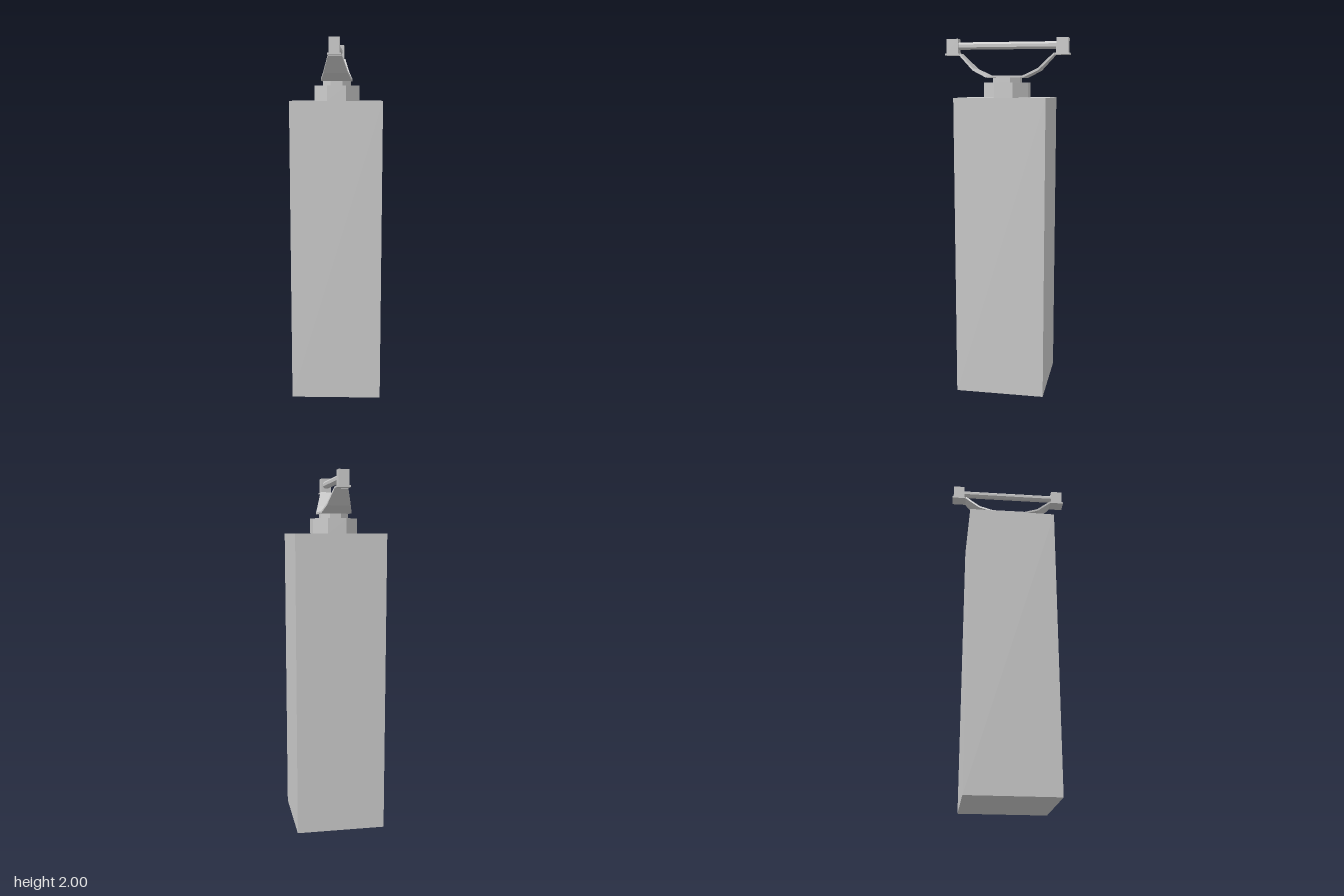
import * as THREE from 'three';

const material = new THREE.MeshStandardMaterial({ color: 0xcccccc, flatShading: true });

function add(parent, name, geometry, x = 0, y = 0, z = 0) {
  const mesh = new THREE.Mesh(geometry, material);
  mesh.name = name;
  mesh.position.set(x, y, z);
  parent.add(mesh);
  return mesh;
}

// Eight-sided prism with flats facing the axes, sized by its distance to a flat
function octagon(apothem, height) {
  const r = apothem / Math.cos(Math.PI / 8);
  return new THREE.CylinderGeometry(r, r, height, 8).rotateY(Math.PI / 8);
}

// Bent strip: each row is [z, outer y, half width]
function cradleGeometry() {
  const half = [[0.104, 1.784, 0.085], [0.186, 1.824, 0.065], [0.27, 1.908, 0.036]];
  const rows = [...half.map(([z, y, w]) => [-z, y, w]).reverse(), ...half];
  const geometry = new THREE.BoxGeometry(1, 1, 1, 1, 1, rows.length - 1);
  const p = geometry.attributes.position;
  for (let i = 0; i < p.count; i++) {
    const [z, y, w] = rows[Math.round((p.getZ(i) + 0.5) * (rows.length - 1))];
    const inner = p.getY(i) > 0;
    p.setXYZ(i, Math.sign(p.getX(i)) * w, y + (inner ? 0.011 : 0), z - (inner ? Math.sign(z) * 0.004 : 0));
  }
  geometry.computeVertexNormals();
  return geometry;
}

export function createModel() {
  const model = new THREE.Group();
  model.name = 'pedestalWithCradle';

  // Tall pedestal and its collar
  add(model, 'pedestal', new THREE.BoxGeometry(0.5, 1.675, 0.5), 0, 0.8375, 0);
  add(model, 'collar', octagon(0.125, 0.083), 0, 1.7165, 0);

  // Swivelling head, turned very slightly
  const head = new THREE.Group();
  head.name = 'swivelHead';
  head.rotation.y = -0.021;
  model.add(head);
  add(head, 'neck', octagon(0.077, 0.03), 0, 1.772, 0);
  add(head, 'cradle', cradleGeometry());

  // Rod held between the two end blocks
  add(head, 'rod', octagon(0.02, 0.57).rotateX(Math.PI / 2), 0, 1.961, 0);
  for (const s of [1, -1]) {
    const end = s > 0 ? 'front' : 'back';
    add(head, end + 'Plate', new THREE.BoxGeometry(0.072, 0.01, 0.083), 0, 1.914, s * 0.311);
    add(head, end + 'Block', new THREE.BoxGeometry(0.058, 0.082, 0.067), 0, 1.959, s * 0.312);
  }
  return model;
}
